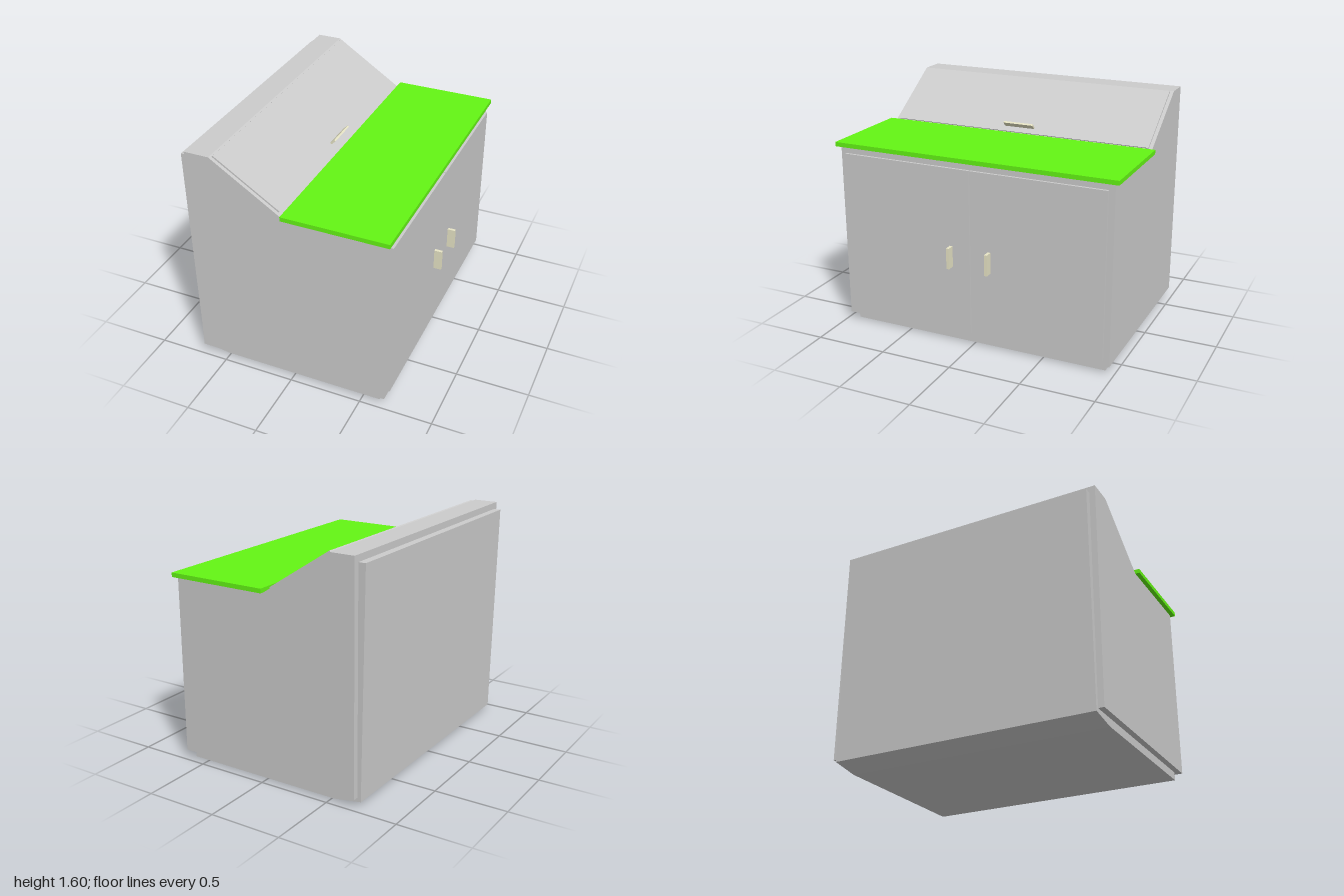
import * as THREE from 'three';

const material = (color) => new THREE.MeshStandardMaterial({ color, flatShading: true });

export function createModel() {
  const model = new THREE.Group();
  const grey = material(0xcccccc);
  const green = material(0x64f514);
  const beige = material(0xe7e4c5);

  const add = (name, geometry, mat) => {
    const mesh = new THREE.Mesh(geometry, mat);
    mesh.name = name;
    model.add(mesh);
    return mesh;
  };

  // Side profile (x, y) extruded across the cabinet, centred on z = 0
  const slab = (name, points, halfWidth, mat) => {
    const shape = new THREE.Shape(points.map(([x, y]) => new THREE.Vector2(x, y)));
    const geometry = new THREE.ExtrudeGeometry(shape, { depth: 2 * halfWidth, bevelEnabled: false });
    geometry.translate(0, 0, -halfWidth);
    return add(name, geometry, mat);
  };

  // Box given by its limits on each axis
  const box = (name, [x0, x1], [y0, y1], [z0, z1], mat) => {
    const mesh = add(name, new THREE.BoxGeometry(x1 - x0, y1 - y0, z1 - z0), mat);
    mesh.position.set((x0 + x1) / 2, (y0 + y1) / 2, (z0 + z1) / 2);
    return mesh;
  };

  // Cabinet with sloping upper hood
  slab('cabinetBody', [
    [-0.685, 0.055], [0.66, 0.055], [0.66, 1.28], [-0.03, 1.28], [-0.515, 1.595], [-0.685, 1.595],
  ], 0.97, grey);

  // Recessed plinth running up into the tapered back panel
  slab('plinthAndBackPanel', [
    [-0.71, 0.03], [-0.515, 0], [0.615, 0], [0.615, 0.055], [-0.685, 0.055], [-0.685, 1.55], [-0.735, 1.55],
  ], 0.93, grey);

  // Overhanging worktop
  box('worktop', [-0.03, 0.685], [1.28, 1.31], [-1, 1], green);

  // Sloping lid and its grip
  slab('lid', [
    [-0.505, 1.588], [-0.065, 1.302], [-0.055, 1.309], [-0.497, 1.596],
  ], 0.945, grey);
  const grip = add('lidHandle', new THREE.BoxGeometry(0.046, 0.013, 0.22), beige);
  grip.position.set(-0.084, 1.352, 0);
  grip.rotation.z = Math.PI / 4;

  // Pair of doors, each standing off the body on a slim seal, with a pull
  for (const side of [-1, 1]) {
    const span = (a, b) => [side * a, side * b].sort((p, q) => p - q);
    const prefix = side > 0 ? 'left' : 'right';
    box(prefix + 'DoorSeal', [0.66, 0.665], [0.11, 1.225], span(0.015, 0.92), grey);
    box(prefix + 'Door', [0.665, 0.682], [0.095, 1.237], span(0.003, 0.93), grey);
    box(prefix + 'DoorHandle', [0.682, 0.735], [0.56, 0.705], span(0.128, 0.148), beige);
  }

  return model;
}
